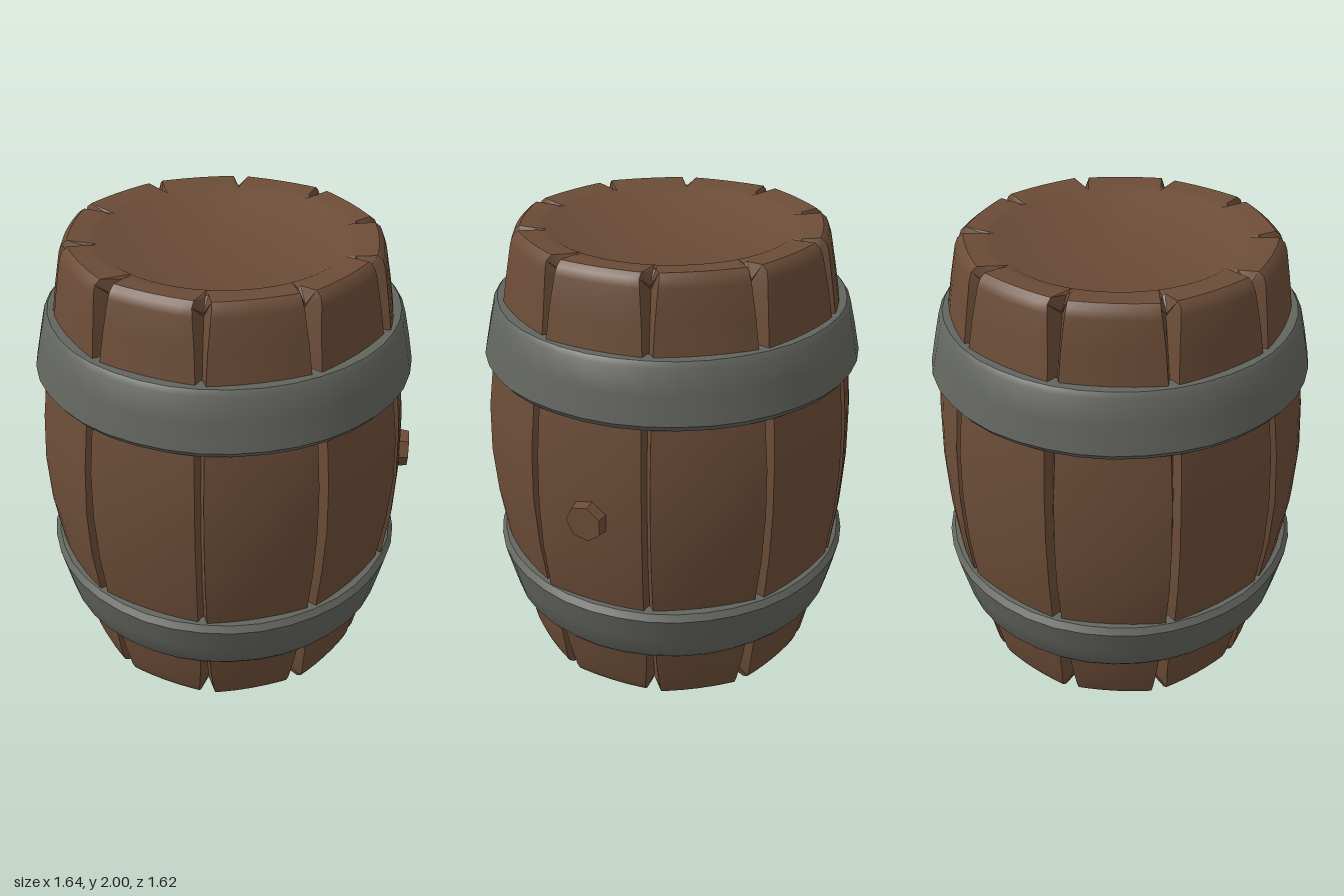
import * as THREE from 'three';
import { toCreasedNormals } from 'three/addons/utils/BufferGeometryUtils.js';

const STAVES = 10;
const STEP = (Math.PI * 2) / STAVES;
const CENTRE_X = -0.015;

function seeded(seed) {
  return () => {
    seed = (seed * 16807) % 2147483647;
    return seed / 2147483647;
  };
}

// Lower half of the cask: radius, height, groove depth, lid drop, groove half angle
const HALF = [
  [0.0, 0.02, 0, 0, 0.03],
  [0.5, 0.02, 0, 0, 0.03],
  [0.515, 0.012, 0, 0, 0.03],
  [0.56, 0.008, 0, 0.008, 0.02],
  [0.625, 0.0, 0.012, 0.06, 0.05],
  [0.648, 0.018, 0.04, 0.055, 0.055],
  [0.66, 0.05, 0.05, 0.03, 0.05],
  [0.685, 0.18, 0.045, 0, 0.035],
  [0.705, 0.3, 0.035, 0, 0.028],
  [0.762, 0.56, 0.03, 0, 0.025],
  [0.79, 0.78, 0.03, 0, 0.022],
];

// Ten slightly flattened staves with grooves between them, closed at both ends
function caskGeometry() {
  const rand = seeded(77);
  const rows = [
    ...HALF.map((p) => [...p, 1]),
    [0.8, 1, 0.03, 0, 0.022, 1],
    ...HALF.slice().reverse().map(([r, y, g, d, w]) => [r, 2 - y, g, d, w, -1]),
  ];
  const staves = Array.from({ length: STAVES }, () => ({
    tilt: (rand() - 0.5) * 0.02,
    phase: rand() * 6.28,
  }));
  const across = [0, 0.001, 0.12, 0.3, 0.5, 0.7, 0.88, 0.999];
  const cols = STAVES * across.length;
  const pos = [];
  const index = [];
  rows.forEach(([r, y, groove, drop, half, sign]) => {
    for (let s = 0; s < STAVES; s++) {
      across.forEach((t, k) => {
        const { tilt, phase } = staves[s];
        const a = s * STEP + (k === 0 ? 0 : half + t * (STEP - 2 * half));
        const side = Math.abs(t - 0.5) * 2;
        let radius = r;
        let height = y;
        if (k === 0) {
          radius -= groove;
          height += sign * drop;
        } else if (r > 0.6) {
          radius *= 1 + 0.016 * side * side;
          radius += tilt * (t - 0.5) + 0.004 * Math.sin(y * 5 + phase);
        }
        pos.push(radius * Math.sin(a), height, radius * Math.cos(a));
      });
    }
  });
  for (let i = 0; i < rows.length - 1; i++) {
    for (let j = 0; j < cols; j++) {
      const a = i * cols + j;
      const b = i * cols + ((j + 1) % cols);
      if (i > 0) index.push(a, b, b + cols);
      if (i < rows.length - 2) index.push(a, b + cols, a + cols);
    }
  }
  const geo = new THREE.BufferGeometry();
  geo.setAttribute('position', new THREE.Float32BufferAttribute(pos, 3));
  geo.setIndex(index);
  return toCreasedNormals(geo, 0.6);
}

// Flared hoop, widest on the side nearer the belly, with a slightly hammered face
function hoopGeometry() {
  const points = [
    [0.68, 0.295], [0.742, 0.295], [0.758, 0.315], [0.783, 0.42],
    [0.808, 0.535], [0.788, 0.562], [0.74, 0.565],
  ].map(([x, y]) => new THREE.Vector2(x, y));
  const geo = new THREE.LatheGeometry(points, 40);
  const p = geo.attributes.position;
  for (let i = 0; i < p.count; i++) {
    const a = Math.atan2(p.getX(i), p.getZ(i));
    const k = 1 + 0.003 * Math.sin(a * 7) * Math.cos(a * 4 + p.getY(i) * 9);
    p.setX(i, p.getX(i) * k);
    p.setZ(i, p.getZ(i) * k);
  }
  return toCreasedNormals(geo, 0.6);
}

export function createModel() {
  const wood = new THREE.MeshStandardMaterial({ color: 0x6b4c37 });
  const iron = new THREE.MeshStandardMaterial({ color: 0x62645e });

  const group = new THREE.Group();
  group.name = 'barrel';
  const add = (name, geometry, material) => {
    const mesh = new THREE.Mesh(geometry, material);
    mesh.name = name;
    mesh.position.x = CENTRE_X;
    group.add(mesh);
    return mesh;
  };

  add('staves', caskGeometry(), wood);

  // The upper hoop is the lower one turned over
  const hoop = hoopGeometry();
  add('lowerHoop', hoop, iron);
  const upper = add('upperHoop', hoop, iron);
  upper.rotation.x = Math.PI;
  upper.position.y = 1.995;

  // Bung in the side of the belly
  const bung = add('bung', toCreasedNormals(new THREE.CylinderGeometry(0.08, 0.095, 0.09, 7), 0.6), wood);
  bung.rotation.z = -Math.PI / 2;
  bung.position.set(0.775, 0.995, -0.005);

  return group;
}
